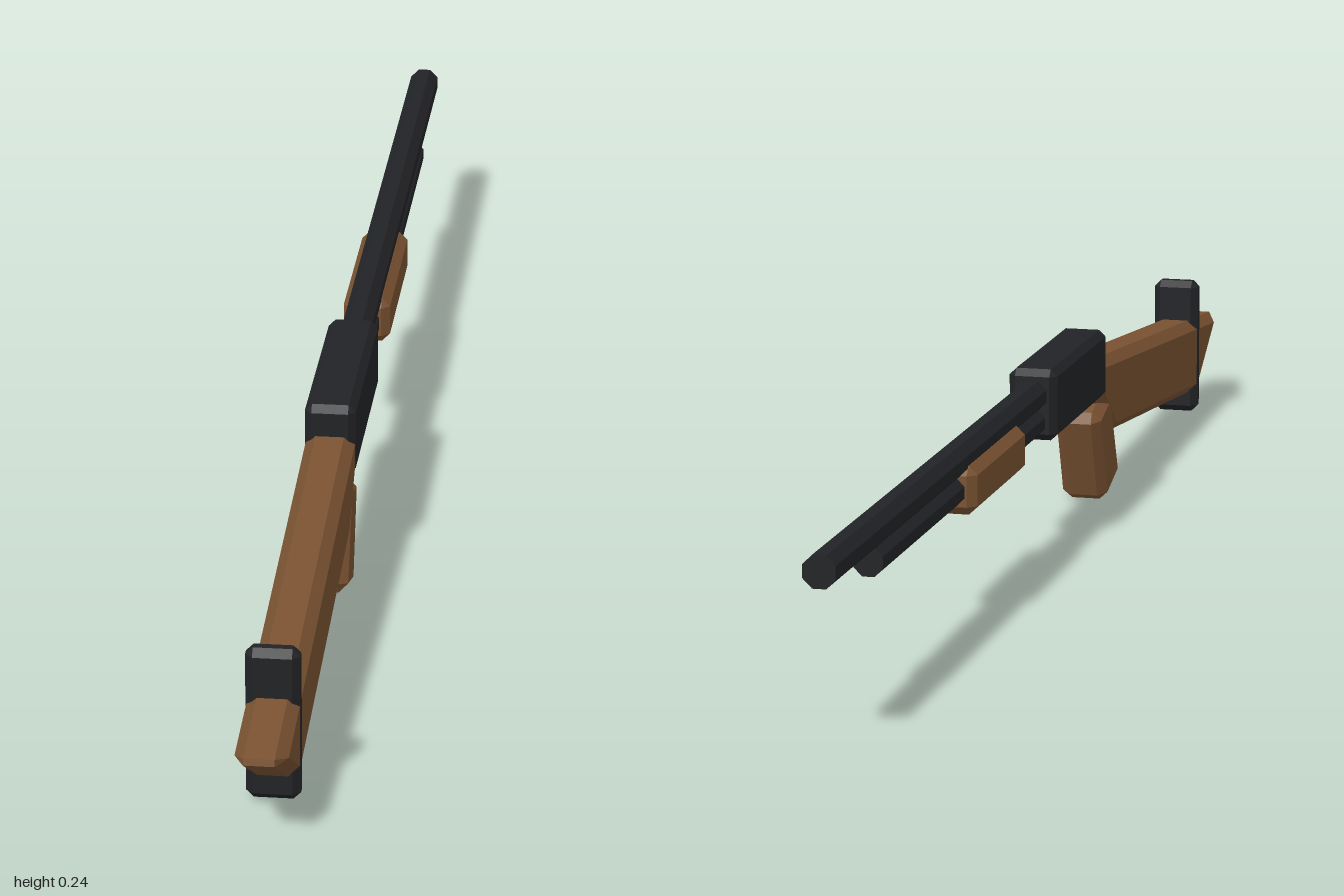
import * as THREE from 'three';
import { ConvexGeometry } from 'three/addons/geometries/ConvexGeometry.js';

const wood = new THREE.MeshStandardMaterial({ color: 0x7a5232, flatShading: true });
const metal = new THREE.MeshStandardMaterial({ color: 0x222326, flatShading: true });

// Convex side profile of [z, y] points, given width in x, every edge chamfered by c
function chamferedPrism(name, profile, halfWidth, c, material) {
  const points = [];
  const n = profile.length;
  const corners = profile.map(([z, y]) => new THREE.Vector2(z, y));
  corners.forEach((p, i) => {
    const a = corners[(i + n - 1) % n].clone().sub(p).normalize();
    const b = corners[(i + 1) % n].clone().sub(p).normalize();
    // shift along both edges that moves the corner inward by c from each
    const shift = c / Math.abs(a.cross(b));
    const inset = p.clone().addScaledVector(a, shift).addScaledVector(b, shift);
    const cutA = p.clone().addScaledVector(a, c);
    const cutB = p.clone().addScaledVector(b, c);
    for (const s of [-1, 1]) {
      points.push(new THREE.Vector3(s * halfWidth, inset.y, inset.x));
      for (const q of [cutA, cutB]) {
        points.push(new THREE.Vector3(s * (halfWidth - c), q.y, q.x));
      }
    }
  });
  const mesh = new THREE.Mesh(new ConvexGeometry(points), material);
  mesh.name = name;
  return mesh;
}

const box = (z0, z1, y0, y1) => [[z0, y0], [z1, y0], [z1, y1], [z0, y1]];

// Octagonal tube along z
function pipe(name, radius, y, z0, z1) {
  const geometry = new THREE.CylinderGeometry(radius, radius, z1 - z0, 8);
  geometry.rotateY(Math.PI / 8).rotateX(Math.PI / 2);
  const mesh = new THREE.Mesh(geometry, metal);
  mesh.name = name;
  mesh.position.set(0, y, (z0 + z1) / 2);
  return mesh;
}

export function createModel() {
  const group = new THREE.Group();
  group.name = 'longGun';

  // Metal parts
  group.add(
    chamferedPrism('receiver', box(-0.02, 0.27, 0.15, 0.244), 0.032, 0.009, metal),
    pipe('barrel', 0.021, 0.21, -1, 0.05),
    pipe('magazineTube', 0.019, 0.174, -0.8, 0.05),
    chamferedPrism('buttPlate', box(0.842, 0.87, 0.01, 0.203), 0.032, 0.009, metal),
  );

  // Wooden parts
  const stock = [[1.008, 0.129], [0.25, 0.206], [0.24, 0.16], [0.325, 0.09], [0.86, 0.037]];
  const grip = [[0.302, 0.155], [0.225, 0.131], [0.272, 0.002], [0.357, 0.029]];
  group.add(
    chamferedPrism('stock', stock, 0.031, 0.013, wood),
    chamferedPrism('grip', grip, 0.031, 0.012, wood),
    chamferedPrism('foreGrip', box(-0.43, -0.17, 0.144, 0.205), 0.031, 0.011, wood),
  );
  return group;
}
